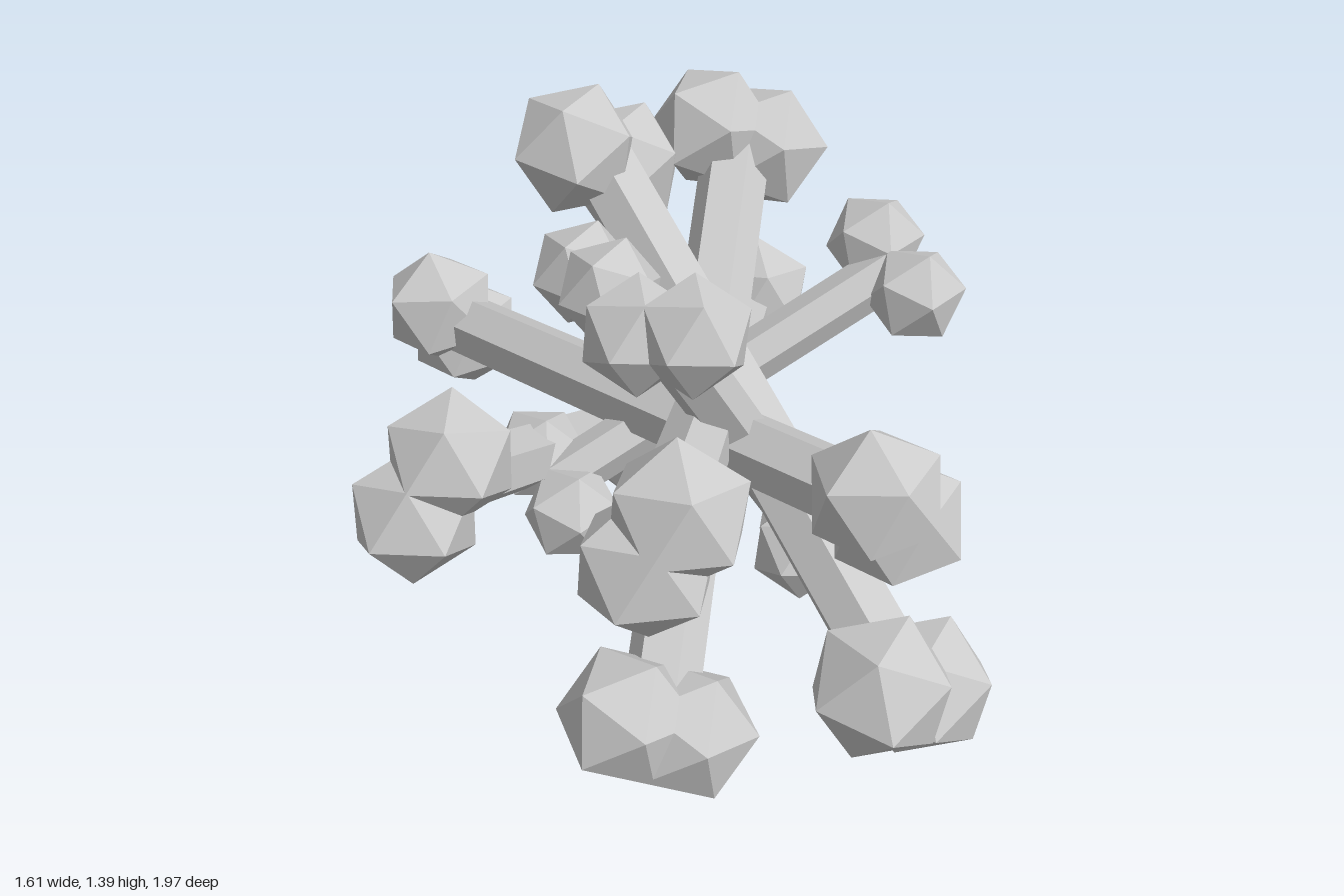
import * as THREE from 'three';

const material = new THREE.MeshStandardMaterial({ color: 0xcccccc, flatShading: true });

// One bone: six-sided shaft with a pair of faceted knobs at each end.
// a, b: end centres; half: offset from an end centre to one of its knobs; r: knob radius
function makeBone({ a, b, half, r }) {
  const start = new THREE.Vector3(...a);
  const end = new THREE.Vector3(...b);
  const along = end.clone().sub(start);
  const length = along.length();
  along.normalize();

  // Local frame: y along the shaft, x through the knob pair
  const across = new THREE.Vector3(...half);
  const spread = across.length();
  across.addScaledVector(along, -across.dot(along)).normalize();
  const depth = new THREE.Vector3().crossVectors(across, along);

  const bone = new THREE.Group();
  bone.name = 'bone';
  bone.quaternion.setFromRotationMatrix(new THREE.Matrix4().makeBasis(across, along, depth));
  bone.position.copy(start).add(end).multiplyScalar(0.5);

  const shaft = new THREE.Mesh(new THREE.CylinderGeometry(r * 0.53, r * 0.53, length, 6), material);
  shaft.name = 'shaft';
  bone.add(shaft);

  for (const endSide of [-1, 1]) {
    for (const side of [-1, 1]) {
      const knob = new THREE.Mesh(new THREE.IcosahedronGeometry(r, 0), material);
      knob.name = 'knob';
      knob.position.set(side * spread, endSide * length / 2, 0);
      bone.add(knob);
    }
  }
  return bone;
}

export function createModel() {
  const model = new THREE.Group();
  model.name = 'bonePile';

  const bones = [
    // Long bones
    { a: [-0.615, 0.9, 0.365], b: [0.135, 0.22, -0.815], half: [0.048, 0.067, -0.01], r: 0.164 },
    { a: [0.43, 0.425, 0.76], b: [-0.005, 1.185, -0.71], half: [0.075, -0.055, -0.05], r: 0.185 },
    { a: [0.395, 0.88, 0.65], b: [-0.435, 0.668, -0.81], half: [0.035, -0.05, -0.01], r: 0.172 },
    { a: [-0.12, 0.22, 0.54], b: [0.41, 1.18, -0.77], half: [0.076, -0.03, 0.005], r: 0.184 },
    { a: [-0.175, 1.02, 0.835], b: [0.465, 0.57, -0.835], half: [0.035, 0.06, 0], r: 0.17 },
    // Short bones
    { a: [0.665, 1.07, -0.12], b: [-0.265, 0.58, -0.04], half: [0.023, -0.033, 0.095], r: 0.132 },
    { a: [-0.06, 1.23, 0.36], b: [0.47, 0.285, 0.03], half: [0.057, 0.014, 0.043], r: 0.144 },
    { a: [-0.13, 1.125, -0.115], b: [0.48, 0.29, -0.07], half: [0.018, 0.018, 0.088], r: 0.138 },
  ];
  for (const spec of bones) model.add(makeBone(spec));

  return model;
}
